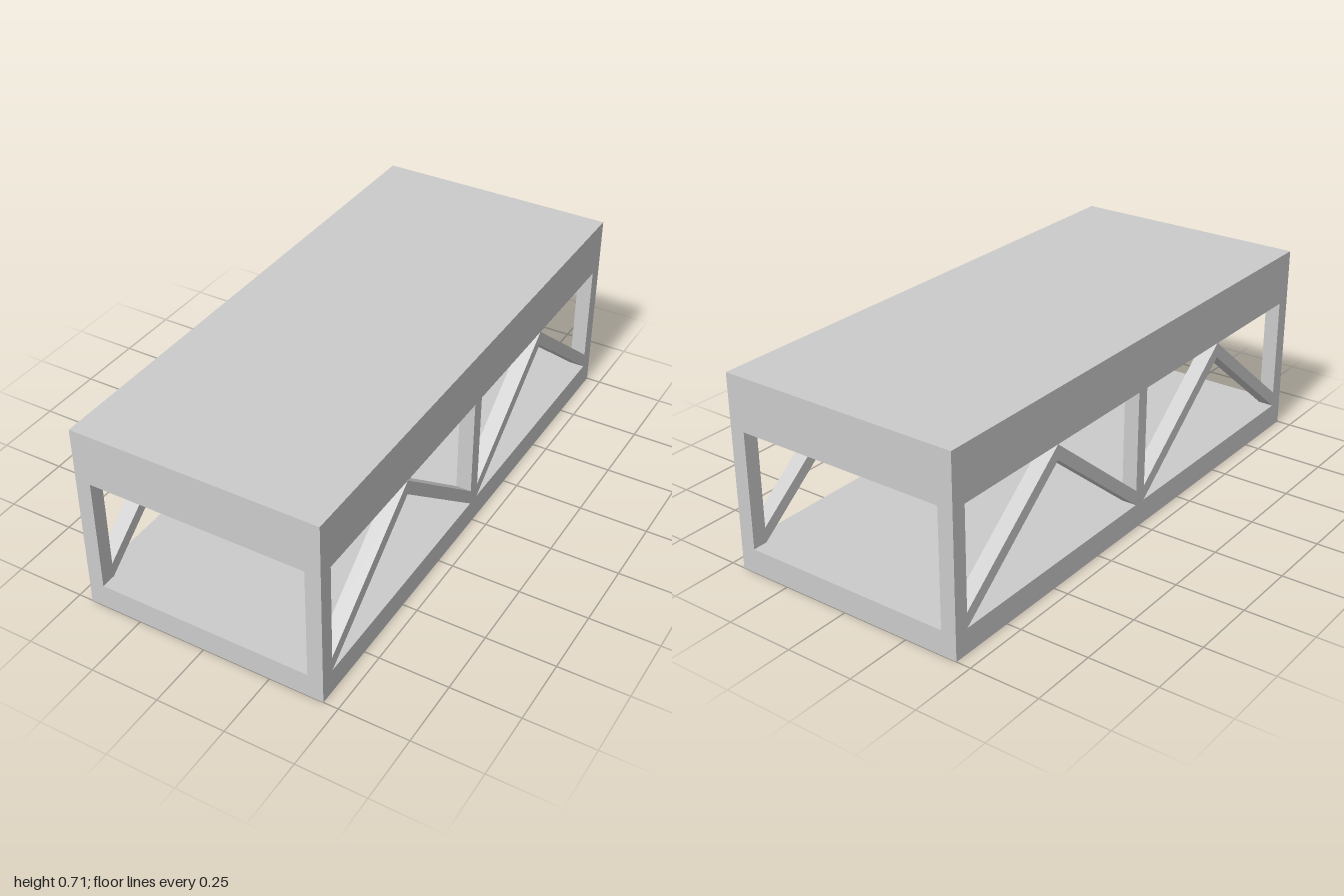
import * as THREE from 'three';

const W = 0.894, L = 2, H = 0.706;      // overall size
const FLOOR = 0.09, CEIL = 0.514;       // floor top and roof underside
const T = 0.056;                        // side frame thickness
const END = 0.945, MID = 0.024;         // inner faces of end and middle posts

export function createModel() {
  const model = new THREE.Group();
  const material = new THREE.MeshStandardMaterial({ color: 0xcccccc, flatShading: true });

  const add = (name, geometry, x, y, z) => {
    const mesh = new THREE.Mesh(geometry, material);
    mesh.name = name;
    mesh.position.set(x, y, z);
    model.add(mesh);
  };

  // Floor and roof slabs
  add('floorSlab', new THREE.BoxGeometry(W, FLOOR, L), 0, FLOOR / 2, 0);
  add('roofSlab', new THREE.BoxGeometry(W, H - CEIL, L), 0, (H + CEIL) / 2, 0);

  // Inverted V brace filling one bay, drawn along z and turned into the side plane
  const peak = (END + MID) / 2, rise = 0.055;
  const chevron = new THREE.Shape([
    [MID, FLOOR], [MID, FLOOR + rise], [peak, CEIL],
    [END, FLOOR + rise], [END, FLOOR], [peak, CEIL - rise],
  ].map(([z, y]) => new THREE.Vector2(z, y)));
  const brace = new THREE.ExtrudeGeometry(chevron, { depth: T, bevelEnabled: false });
  brace.translate(0, 0, -T / 2);
  brace.rotateY(-Math.PI / 2);

  // Posts and braces on both sides
  const postHeight = CEIL - FLOOR;
  const endPost = new THREE.BoxGeometry(T, postHeight, 1 - END);
  const midPost = new THREE.BoxGeometry(T, postHeight, 2 * MID);
  for (const [side, sx] of [['left', 1], ['right', -1]]) {
    const x = sx * (W - T) / 2, y = FLOOR + postHeight / 2;
    add(side + 'MiddlePost', midPost, x, y, 0);
    for (const [end, sz] of [['Front', 1], ['Back', -1]]) {
      add(side + end + 'Post', endPost, x, y, sz * (1 + END) / 2);
      add(side + end + 'Brace', brace, x, 0, sz > 0 ? 0 : -2 * peak);
    }
  }
  return model;
}
